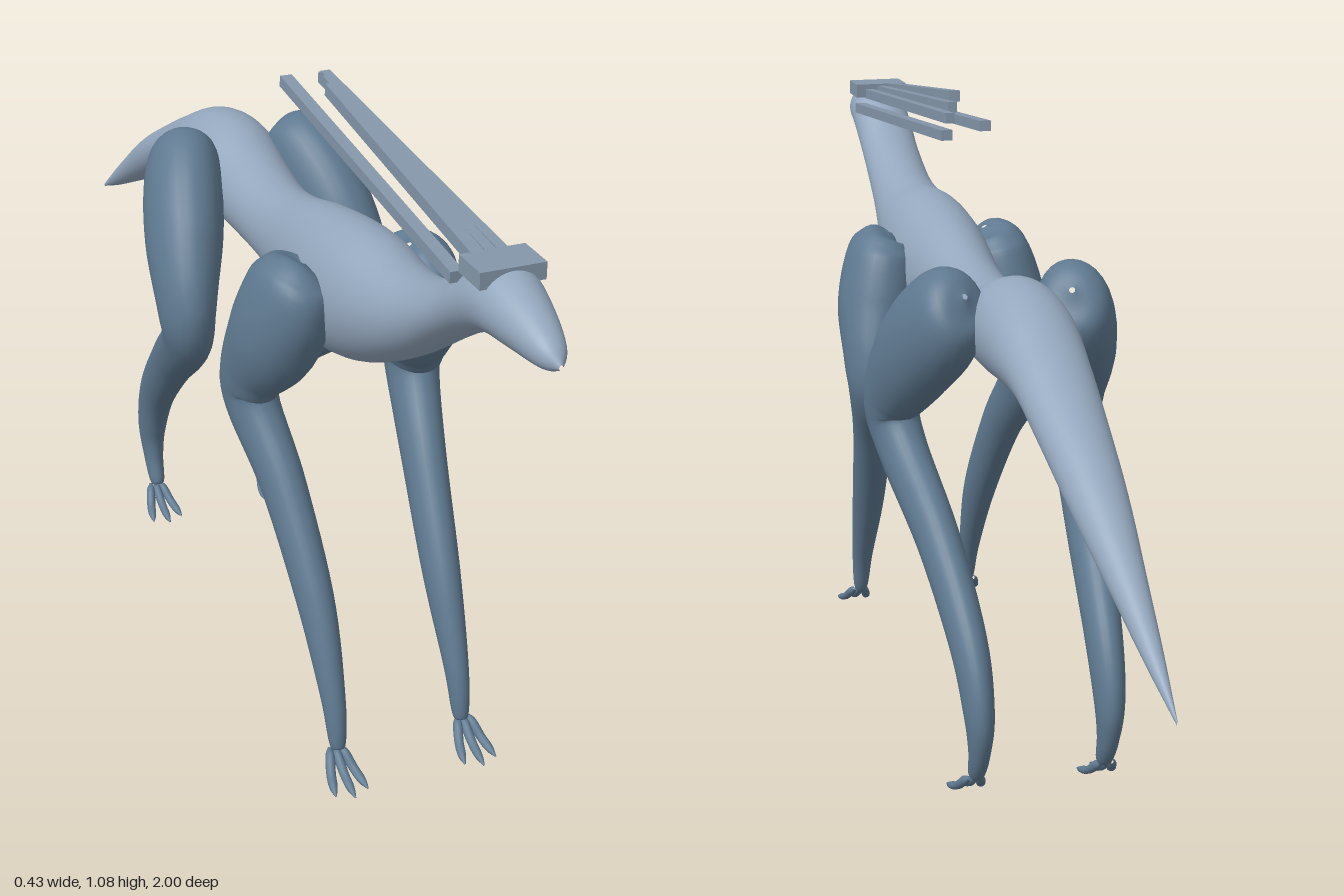
import * as THREE from 'three';

const bodyMat = new THREE.MeshStandardMaterial({ color: 0x94a7bd });
bodyMat.name = 'paleBlueGrey';
const legMat = new THREE.MeshStandardMaterial({ color: 0x5f7990 });
legMat.name = 'slateBlue';
const quillMat = new THREE.MeshStandardMaterial({ color: 0x8496a9 });
quillMat.name = 'quillGrey';

// Smooth skin over elliptical sections; each row is [x, y, z, radiusX, radiusAcross].
function loft(rows, steps, sides, fixedTangent) {
  const path = new THREE.CatmullRomCurve3(rows.map(r => new THREE.Vector3(r[0], r[1], r[2])), false, 'catmullrom', 0.5);
  const size = new THREE.CatmullRomCurve3(rows.map(r => new THREE.Vector3(r[3], r[4], 0)), false, 'catmullrom', 0.5);
  const pos = [], index = [];
  for (let i = 0; i <= steps; i++) {
    const c = path.getPoint(i / steps), r = size.getPoint(i / steps);
    const t = fixedTangent || path.getTangent(i / steps);
    const n = new THREE.Vector3().crossVectors(t, new THREE.Vector3(1, 0, 0)).normalize();
    const s = new THREE.Vector3().crossVectors(n, t).normalize();
    for (let j = 0; j < sides; j++) {
      const a = j / sides * Math.PI * 2;
      const p = c.clone()
        .addScaledVector(s, Math.cos(a) * Math.max(r.x, 0.0005))
        .addScaledVector(n, Math.sin(a) * Math.max(r.y, 0.0005));
      pos.push(p.x, p.y, p.z);
      if (i < steps) {
        const k = i * sides + j, l = i * sides + (j + 1) % sides;
        index.push(k, l, k + sides, l, l + sides, k + sides);
      }
    }
  }
  const g = new THREE.BufferGeometry();
  g.setAttribute('position', new THREE.Float32BufferAttribute(pos, 3));
  g.setIndex(index);
  g.computeVertexNormals();
  return g;
}

function add(parent, name, geometry, material) {
  const m = new THREE.Mesh(geometry, material);
  m.name = name;
  parent.add(m);
  return m;
}

// Head, neck, trunk and tail: [z, top, bottom, half width]
const BODY = [
  [1.0, 0.94, 0.932, 0.003], [0.97, 0.968, 0.92, 0.024], [0.9, 1.0, 0.915, 0.042], [0.83, 1.015, 0.907, 0.053],
  [0.77, 0.985, 0.88, 0.055], [0.7, 0.935, 0.835, 0.055], [0.6, 0.89, 0.765, 0.06],
  [0.5, 0.873, 0.705, 0.073], [0.4, 0.877, 0.658, 0.086], [0.3, 0.867, 0.632, 0.088],
  [0.2, 0.847, 0.64, 0.077], [0.1, 0.82, 0.66, 0.066], [0, 0.806, 0.67, 0.065],
  [-0.1, 0.818, 0.672, 0.071], [-0.2, 0.845, 0.672, 0.079], [-0.3, 0.832, 0.677, 0.076],
  [-0.4, 0.785, 0.673, 0.066], [-0.5, 0.733, 0.632, 0.058], [-0.65, 0.65, 0.56, 0.045],
  [-0.8, 0.55, 0.49, 0.027], [-0.9, 0.48, 0.444, 0.015], [-1.0, 0.408, 0.402, 0.001],
];

const FRONT_LEG = [
  [0.09, 0.815, 0.335, 0.005, 0.005], [0.097, 0.802, 0.335, 0.05, 0.065], [0.108, 0.76, 0.328, 0.066, 0.09],
  [0.123, 0.68, 0.298, 0.071, 0.088], [0.142, 0.6, 0.253, 0.052, 0.066], [0.143, 0.54, 0.252, 0.043, 0.055],
  [0.125, 0.43, 0.342, 0.036, 0.046], [0.112, 0.27, 0.45, 0.03, 0.038],
  [0.11, 0.13, 0.522, 0.02, 0.023], [0.11, 0.05, 0.545, 0.013, 0.014], [0.11, 0.045, 0.547, 0.001, 0.001],
];

const HIND_LEG = [
  [0.09, 0.82, -0.215, 0.005, 0.005], [0.097, 0.808, -0.2, 0.05, 0.065], [0.115, 0.765, -0.155, 0.066, 0.092],
  [0.142, 0.69, -0.075, 0.066, 0.09], [0.164, 0.595, -0.006, 0.049, 0.066], [0.155, 0.52, -0.035, 0.042, 0.054],
  [0.13, 0.4, -0.19, 0.036, 0.049], [0.115, 0.27, -0.325, 0.031, 0.044], [0.111, 0.17, -0.378, 0.025, 0.038],
  [0.11, 0.1, -0.378, 0.018, 0.026], [0.11, 0.05, -0.357, 0.013, 0.015], [0.11, 0.045, -0.355, 0.001, 0.001],
];

function makeLeg(name, rows, side, ankleZ) {
  const leg = new THREE.Group();
  leg.name = name;
  add(leg, 'limb', loft(rows.map(r => [r[0] * side, ...r.slice(1)]), 66, 28), legMat);
  // Three splayed toes ending in points
  for (const k of [-1, 0, 1]) {
    const x = 0.114 * side, len = k === 0 ? 0.088 : 0.074;
    add(leg, 'toe', loft([
      [x + k * 0.009, 0.044, ankleZ, 0.003, 0.003],
      [x + k * 0.013, 0.036, ankleZ + 0.012, 0.008, 0.008],
      [x + k * 0.02, 0.018, ankleZ + len * 0.45, 0.008, 0.007],
      [x + k * 0.025, 0.009, ankleZ + len * 0.75, 0.007, 0.006],
      [x + k * 0.028, 0.004, ankleZ + len, 0.001, 0.001],
    ], 16, 10), legMat);
  }
  return leg;
}

// Square quill between two points
function addQuill(parent, from, to, w, h) {
  const a = new THREE.Vector3(...from), b = new THREE.Vector3(...to);
  const q = add(parent, 'quill', new THREE.BoxGeometry(w, h, a.distanceTo(b)), quillMat);
  q.position.copy(a).add(b).multiplyScalar(0.5);
  q.lookAt(b);
}

export function createModel() {
  const model = new THREE.Group();
  model.name = 'longLeggedCreature';

  const rows = BODY.map(([z, top, bottom, w]) => [0, (top + bottom) / 2, z, w, (top - bottom) / 2]);
  add(model, 'body', loft(rows, 126, 36, new THREE.Vector3(0, 0, -1)), bodyMat);

  for (const [label, side] of [['left', 1], ['right', -1]]) {
    model.add(makeLeg(label + 'FrontLeg', FRONT_LEG, side, 0.542));
    model.add(makeLeg(label + 'HindLeg', HIND_LEG, side, -0.36));
  }

  // Crest plate on the head with quills swept back from it
  const crest = new THREE.Group();
  crest.name = 'crest';
  model.add(crest);
  add(crest, 'crestPlate', new THREE.BoxGeometry(0.1, 0.026, 0.065), quillMat).position.set(0, 1.005, 0.825);
  addQuill(crest, [-0.046, 0.978, 0.78], [-0.037, 1.036, 0.13], 0.02, 0.018);
  addQuill(crest, [-0.024, 1.002, 0.85], [-0.018, 1.068, 0.27], 0.02, 0.02);
  addQuill(crest, [0, 1.0, 0.85], [0.001, 1.058, 0.21], 0.016, 0.018);
  addQuill(crest, [0.024, 0.995, 0.85], [0.018, 1.047, 0.16], 0.016, 0.018);
  addQuill(crest, [0.046, 0.974, 0.78], [0.037, 1.026, 0.11], 0.02, 0.018);

  return model;
}
